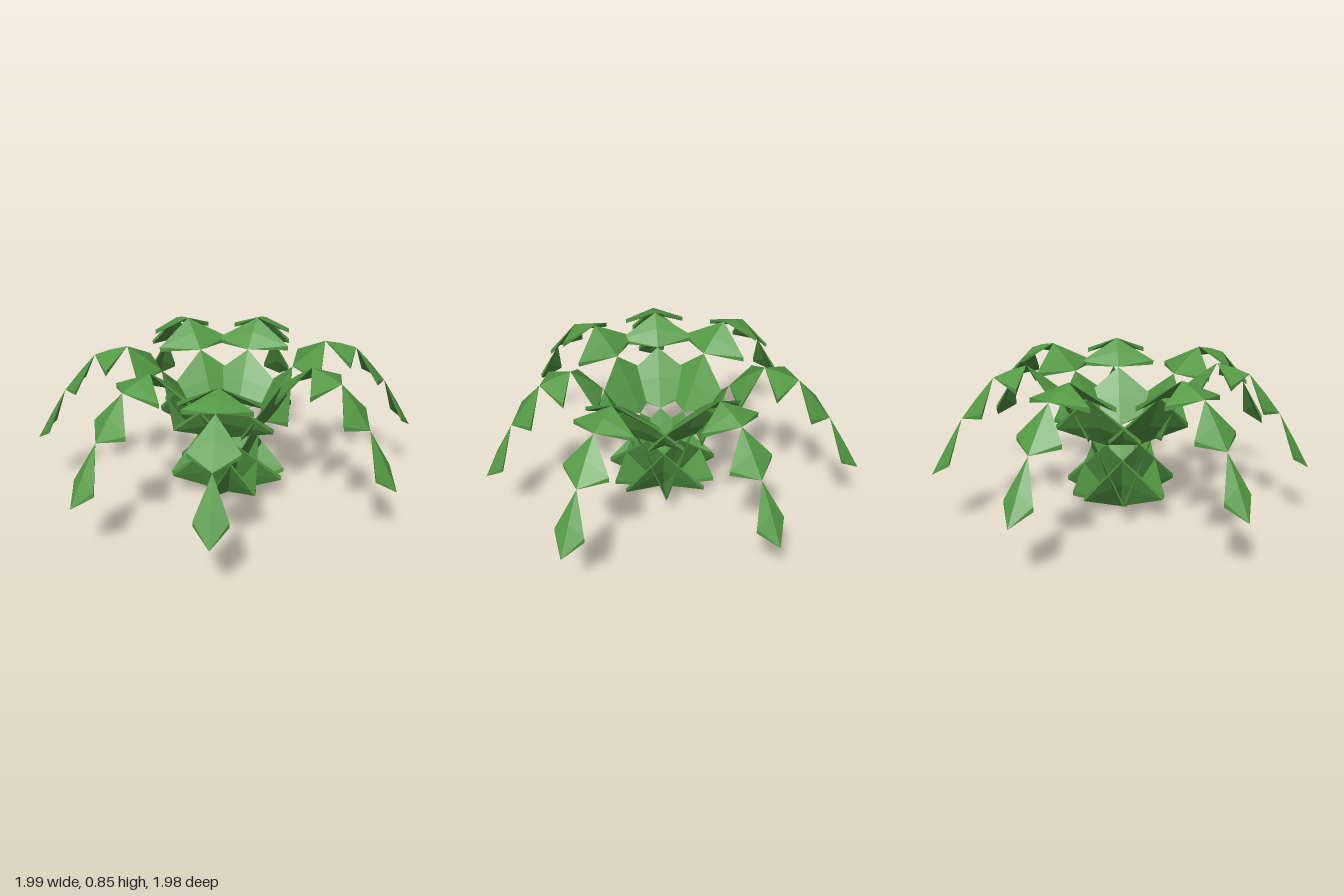
import * as THREE from 'three';

// Root point of the plant and the ground position of each frond's tip (x, z)
const ROOT = [-0.04, 0.05];
const TIPS = [
  [-0.185, -0.99], [0.56, -0.765], [0.99, 0.15], [0.575, 0.79],
  [-0.41, 0.985], [-0.93, 0.48], [-1.0, -0.305],
];
// Height of the joints along a frond, from the root to the tip
const HEIGHTS = [0, 0.42, 0.715, 0.845, 0.795, 0.595, 0.31];
const DROOP = 0.05;      // how far the side corners hang below the midrib
const THICKNESS = 0.025;

// One thin, folded diamond leaflet between joints a and b
function leafletGeometry(a, b, halfWidth) {
  const side = new THREE.Vector3(b.z - a.z, 0, a.x - b.x).normalize().multiplyScalar(halfWidth);
  const mid = a.clone().lerp(b, 0.5);
  const down = (p, h) => p.clone().setY(p.y - h);
  const left = down(mid.clone().add(side), DROOP);
  const right = down(mid.clone().sub(side), DROOP);
  const top = [a, right, b, left];
  const bottom = [a, down(right, THICKNESS), b, down(left, THICKNESS)];
  const midTop = down(mid, -0.006);
  const midBottom = down(mid, THICKNESS);

  const points = [];
  for (let i = 0; i < 4; i++) {
    const j = (i + 1) % 4;
    points.push(top[i], top[j], midTop);
    points.push(bottom[j], bottom[i], midBottom);
    // Rim: a sliver that closes to nothing at the joints
    if (i % 2) points.push(top[i], bottom[i], top[j]);
    else points.push(top[i], bottom[j], top[j]);
  }
  const geometry = new THREE.BufferGeometry().setFromPoints(points);
  geometry.computeVertexNormals();
  return geometry;
}

export function createModel() {
  const model = new THREE.Group();
  model.name = 'fern';
  const leafGreen = new THREE.MeshStandardMaterial({ color: 0x559a45, flatShading: true });
  leafGreen.name = 'leafGreen';

  TIPS.forEach(([x, z], f) => {
    const frond = new THREE.Group();
    frond.name = `frond${f + 1}`;
    const joints = HEIGHTS.map((y, i) => new THREE.Vector3(
      THREE.MathUtils.lerp(ROOT[0], x, i / 6), y,
      THREE.MathUtils.lerp(ROOT[1], z, i / 6)));

    // Leaflets narrow evenly towards the tip
    for (let i = 0; i < 6; i++) {
      const leaflet = new THREE.Mesh(
        leafletGeometry(joints[i], joints[i + 1], 0.29 - i * 0.042), leafGreen);
      leaflet.name = `leaflet${i + 1}`;
      frond.add(leaflet);
    }
    model.add(frond);
  });
  return model;
}
